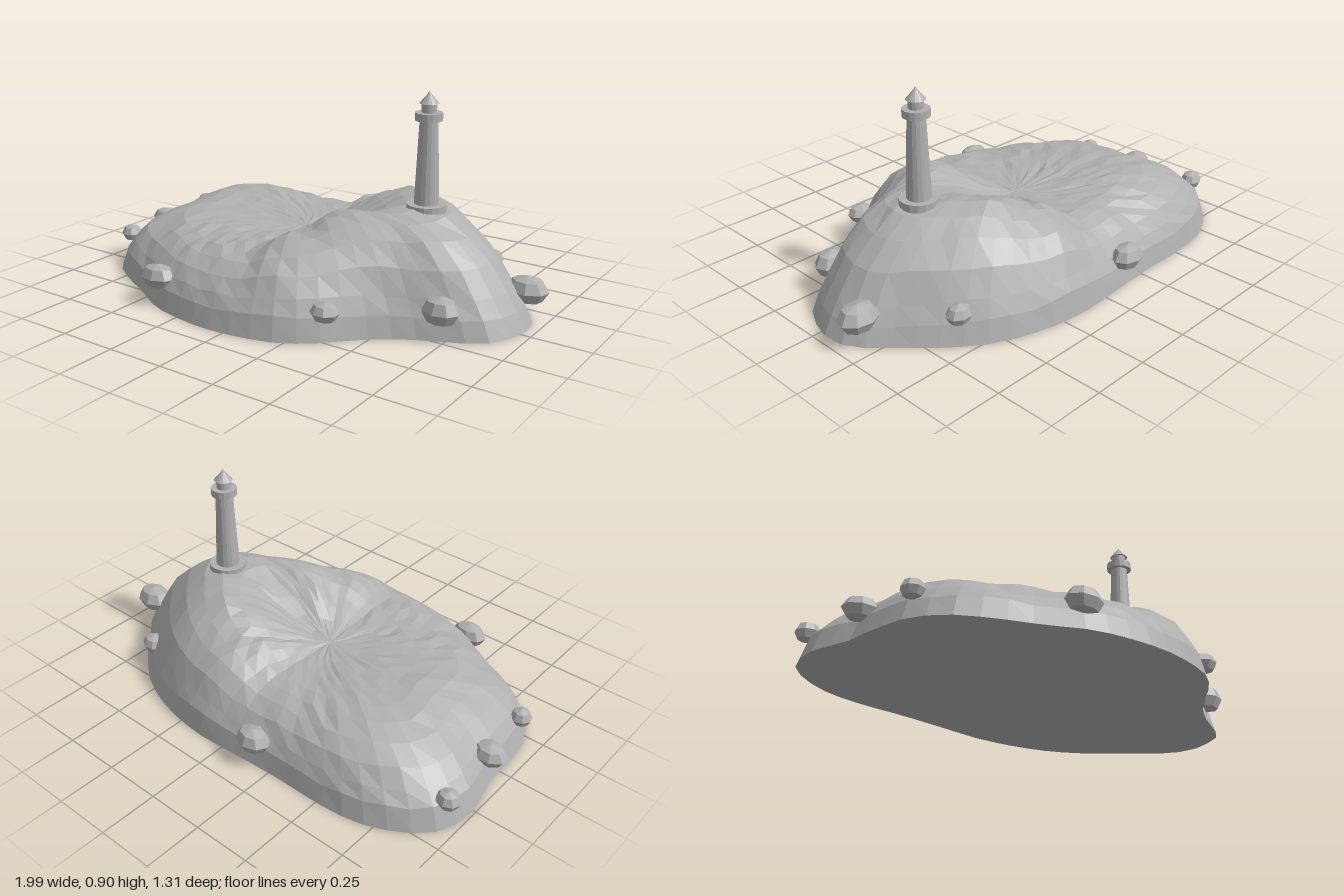
import * as THREE from 'three';

const stone = new THREE.MeshStandardMaterial({ color: 0xb0b0b0, flatShading: true });
stone.name = 'grey stone';

// Shoreline, counter-clockwise from above, as x, z pairs
const SHORE = [
  [0.965, -0.03], [0.945, -0.15], [0.83, -0.28], [0.69, -0.42], [0.54, -0.53], [0.35, -0.6],
  [0.14, -0.63], [-0.08, -0.62], [-0.29, -0.61], [-0.53, -0.61], [-0.69, -0.59], [-0.83, -0.53],
  [-0.94, -0.44], [-0.985, -0.32], [-0.985, -0.21], [-0.95, -0.1], [-0.95, 0], [-0.94, 0.13],
  [-0.92, 0.24], [-0.84, 0.35], [-0.72, 0.43], [-0.56, 0.51], [-0.4, 0.6], [-0.24, 0.64],
  [-0.08, 0.655], [0.08, 0.64], [0.23, 0.6], [0.35, 0.52], [0.48, 0.39], [0.62, 0.29],
  [0.79, 0.21], [0.88, 0.16], [0.93, 0.08],
];
// Ridge height every 30 degrees, starting at +x and turning towards the back
const RIDGE = [0.425, 0.425, 0.345, 0.255, 0.26, 0.285, 0.275, 0.255, 0.25, 0.26, 0.335, 0.415];
// Slope from the ridge down to the shore: distance fraction, height fraction
const SLOPE = [[0.55, 1], [0.65, 0.94], [0.75, 0.81], [0.85, 0.59], [0.92, 0.34], [0.965, 0.17], [1, 0]];
const CENTRE = [-0.08, -0.03];
const HOLLOW = 0.245;

let seed = 7;
const random = () => (seed = (seed * 16807) % 2147483647) / 2147483647;

function ridgeAt(dx, dz) {
  const t = ((Math.atan2(-dz, dx) / (Math.PI * 2) + 1) % 1) * 12;
  const i = Math.floor(t);
  const s = THREE.MathUtils.smoothstep(t - i, 0, 1);
  return THREE.MathUtils.lerp(RIDGE[i % 12], RIDGE[(i + 1) % 12], s);
}

// The slope bulges more steeply everywhere except towards the +x point
function heightAt(f, dx, dz) {
  const ridge = ridgeAt(dx, dz);
  if (f <= SLOPE[0][0]) {
    return THREE.MathUtils.lerp(HOLLOW, ridge, THREE.MathUtils.smoothstep(f, 0, SLOPE[0][0]));
  }
  const bulge = 0.62 + 0.38 * Math.max(0, dx / Math.hypot(dx, dz)) ** 2;
  return ridge * SLOPE.find((p) => p[0] === f)[1] ** bulge;
}

// Island surface: rings from the central hollow out to the shore, plus a flat underside
function makeIsland() {
  const sides = 56;
  const rings = [0.09, 0.18, 0.28, 0.37, 0.46, ...SLOPE.map((p) => p[0])];
  const curve = new THREE.CatmullRomCurve3(SHORE.map(([x, z]) => new THREE.Vector3(x, 0, z)), true);
  const shore = curve.getSpacedPoints(sides).slice(0, sides);
  const pos = [CENTRE[0], HOLLOW, CENTRE[1]];
  const index = [];
  rings.forEach((f) => shore.forEach((p) => {
    const dx = p.x - CENTRE[0], dz = p.z - CENTRE[1];
    const rough = f === 1 ? 0 : (random() - 0.5) * Math.min(0.014, 0.004 + f * 0.02);
    pos.push(CENTRE[0] + dx * f, heightAt(f, dx, dz) + rough, CENTRE[1] + dz * f);
  }));
  const base = pos.length / 3;
  pos.push(CENTRE[0], 0, CENTRE[1]);
  const at = (ring, i) => 1 + ring * sides + (i % sides);
  const last = rings.length - 1;
  for (let i = 0; i < sides; i++) {
    index.push(0, at(0, i), at(0, i + 1));
    for (let r = 0; r < last; r++) {
      index.push(at(r, i), at(r + 1, i), at(r + 1, i + 1));
      index.push(at(r, i), at(r + 1, i + 1), at(r, i + 1));
    }
    index.push(base, at(last, i + 1), at(last, i));
  }
  const geometry = new THREE.BufferGeometry();
  geometry.setAttribute('position', new THREE.Float32BufferAttribute(pos, 3));
  geometry.setIndex(index);
  geometry.computeVertexNormals();
  return geometry;
}

function addMesh(parent, name, geometry, x = 0, y = 0, z = 0) {
  const mesh = new THREE.Mesh(geometry, stone);
  mesh.name = name;
  mesh.position.set(x, y, z);
  parent.add(mesh);
}

export function createModel() {
  const model = new THREE.Group();
  model.name = 'lighthouseIsland';
  addMesh(model, 'island', makeIsland());

  // Lighthouse: name, bottom radius, top radius, bottom y, top y
  const lighthouse = new THREE.Group();
  lighthouse.name = 'lighthouse';
  lighthouse.position.set(0.495, 0, -0.062);
  model.add(lighthouse);
  [
    ['foundation', 0.082, 0.082, 0.39, 0.437],
    ['tower', 0.052, 0.037, 0.43, 0.785],
    ['gallery', 0.056, 0.056, 0.78, 0.812],
    ['lantern', 0.031, 0.031, 0.81, 0.85],
    ['roof', 0.04, 0.009, 0.848, 0.885],
    ['finial', 0.009, 0, 0.883, 0.9],
  ].forEach(([name, bottom, top, y0, y1]) => {
    addMesh(lighthouse, name, new THREE.CylinderGeometry(top, bottom, y1 - y0, 16), 0, (y0 + y1) / 2, 0);
  });

  // Shore boulders: x, z, half width, half height, half depth
  [
    [-0.16, -0.6, 0.08, 0.055, 0.06],
    [0.625, -0.42, 0.058, 0.043, 0.048],
    [0.905, -0.168, 0.09, 0.06, 0.07],
    [0.725, 0.225, 0.08, 0.06, 0.062],
    [0.37, 0.485, 0.061, 0.042, 0.052],
    [-0.41, 0.565, 0.084, 0.054, 0.057],
    [-0.9, 0.217, 0.047, 0.04, 0.045],
    [-0.925, -0.052, 0.077, 0.048, 0.062],
    [-0.945, -0.368, 0.052, 0.042, 0.047],
  ].forEach(([x, z, w, h, d], i) => {
    const rock = new THREE.SphereGeometry(1, 8, 4);
    rock.rotateY(i * 0.5);
    rock.scale(w, h, d);
    addMesh(model, 'boulder' + (i + 1), rock, x, 0.12, z);
  });

  return model;
}
